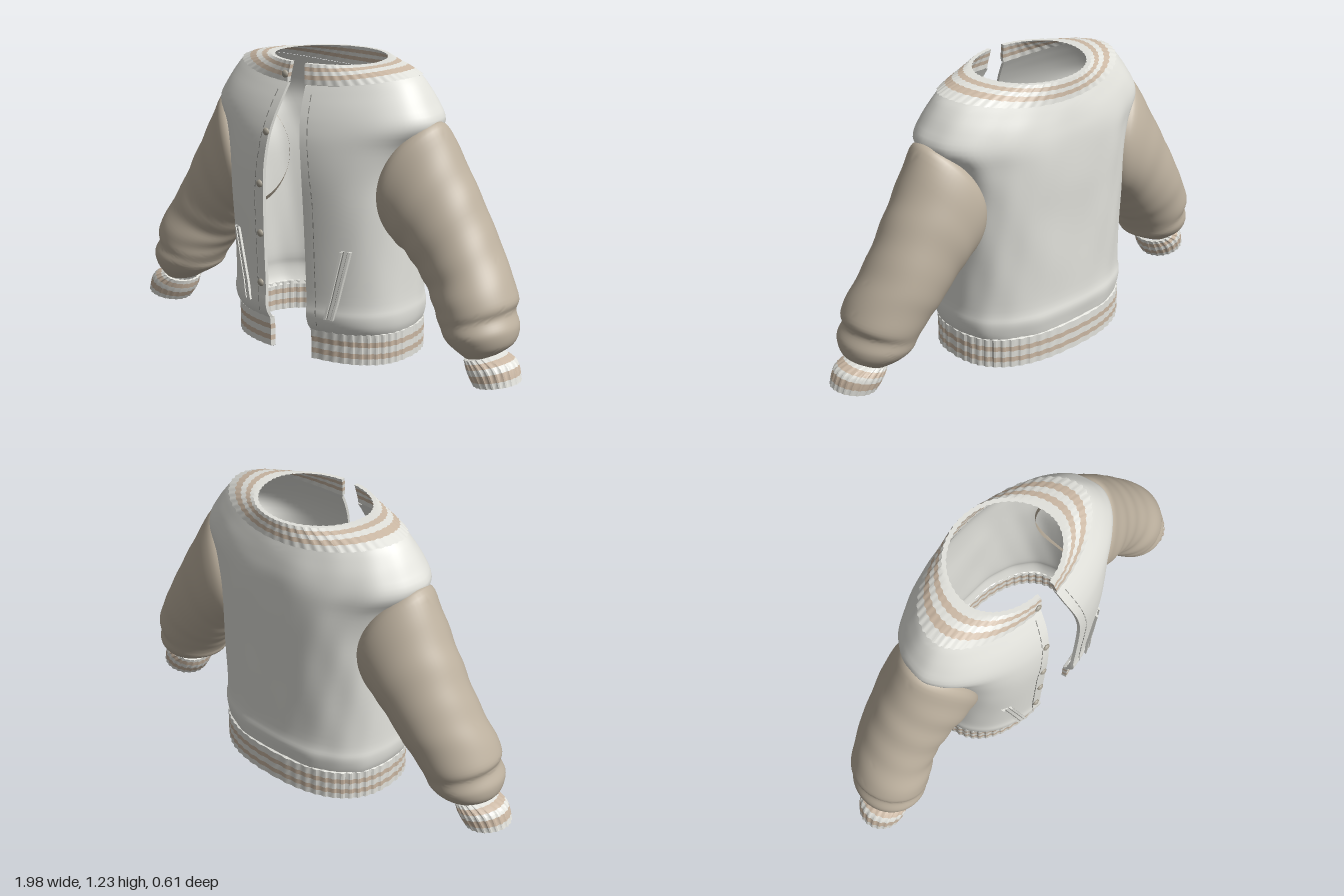
import * as THREE from 'three';
import { toCreasedNormals } from 'three/addons/utils/BufferGeometryUtils.js';

const flat = (name, color) => {
  const m = new THREE.MeshStandardMaterial({ color, side: THREE.DoubleSide });
  m.name = name;
  return m;
};

// Catmull-Rom through rows of numbers; u runs from 0 to rows.length - 1
function sample(rows, u) {
  const i = Math.min(Math.floor(u), rows.length - 2), t = u - i;
  const at = k => rows[Math.max(0, Math.min(rows.length - 1, k))];
  const [p, q, r, s] = [at(i - 1), at(i), at(i + 1), at(i + 2)];
  return q.map((v, k) => v + 0.5 * t * (r[k] - p[k] + t * (2 * p[k] - 5 * v + 4 * r[k] - s[k] + t * (3 * (v - r[k]) + s[k] - p[k]))));
}
const dense = (rows, n) => Array.from({ length: (rows.length - 1) * n + 1 }, (_, k) => sample(rows, k / n));

// Skin over closed rings of [x, y, z]
function loft(rings, flip = false, crease = 0.9) {
  const n = rings[0].length, index = [];
  for (let j = 0; j < rings.length - 1; j++) {
    for (let i = 0; i < n; i++) {
      const a = j * n + i, b = j * n + (i + 1) % n, c = b + n, d = a + n;
      if (flip) index.push(a, c, b, a, d, c);
      else index.push(a, b, c, a, c, d);
    }
  }
  const g = new THREE.BufferGeometry();
  g.setAttribute('position', new THREE.Float32BufferAttribute(rings.flat(2), 3));
  g.setIndex(index);
  return toCreasedNormals(g, crease);
}

// Torso rows: side y, front/back y, half width, front z, back depth, squareness, half gap
const TORSO = [
  [0.12, 0.12, 0.41, 0.25, 0.29, 2.5, 0.11],
  [0.16, 0.16, 0.425, 0.28, 0.297, 2.5, 0.11],
  [0.21, 0.21, 0.43, 0.292, 0.303, 2.5, 0.11],
  [0.27, 0.27, 0.424, 0.288, 0.294, 2.5, 0.11],
  [0.45, 0.45, 0.42, 0.295, 0.295, 2.6, 0.11],
  [0.65, 0.65, 0.42, 0.302, 0.295, 2.8, 0.107],
  [0.8, 0.8, 0.43, 0.305, 0.3, 2.7, 0.1],
  [0.92, 0.92, 0.475, 0.295, 0.3, 2.4, 0.085],
  [1.01, 1.0, 0.545, 0.275, 0.295, 2.1, 0.07],
  [1.09, 1.06, 0.508, 0.25, 0.283, 2.1, 0.058],
  [1.16, 1.11, 0.46, 0.225, 0.27, 2, 0.05],
  [1.19, 1.14, 0.43, 0.208, 0.26, 2, 0.045],
];
const COLLAR = [
  [1.192, 1.145, 0.435, 0.213, 0.264, 2, 0.045],
  [1.21, 1.165, 0.39, 0.212, 0.262, 2, 0.043],
  [1.22, 1.182, 0.352, 0.209, 0.26, 2, 0.041],
  [1.225, 1.198, 0.318, 0.206, 0.258, 2, 0.039],
  [1.228, 1.214, 0.288, 0.203, 0.256, 2, 0.037],
  [1.228, 1.228, 0.263, 0.2, 0.253, 2, 0.036],
];

// One open-fronted, double-walled torso section
function torsoRing([ys, yf, a, f, b, n, gap], thick, { count = 100, rib = 0, fold = 0 } = {}) {
  const start = Math.asin(Math.pow(gap / a, n / 2));
  const wall = inset => Array.from({ length: count + 1 }, (_, i) => {
    const p = start + (2 * Math.PI - 2 * start) * i / count, s = Math.sin(p), c = Math.cos(p);
    const back = (1 - c) / 2;
    const k = 1 + (i % 4 < 2 ? rib : -rib)
      + fold * back * (Math.sin(9 * p + 8 * ys) * Math.sin(7 * ys + 1) + 0.5 * Math.sin(17 * p - 11 * ys));
    const x = (a - inset) * Math.sign(s) * Math.abs(s) ** (2 / n) * k;
    const z = ((c > 0 ? f : b) - inset) * Math.sign(c) * Math.abs(c) ** (2 / n) * k;
    return [x, yf + (ys - yf) * s * s, z];
  });
  return [...wall(0), ...wall(thick).reverse()];
}

// Depth of the jacket front at x, y
function frontZ(x, y) {
  let i = 0;
  while (i < TORSO.length - 2 && TORSO[i + 1][1] < y) i++;
  const t = (y - TORSO[i][1]) / (TORSO[i + 1][1] - TORSO[i][1]);
  const [, , a, f, , n] = TORSO[i].map((v, k) => v + (TORSO[i + 1][k] - v) * t);
  return f * Math.pow(1 - Math.min(1, Math.abs(x) / a) ** n, 1 / n);
}

// Raised strip that follows the jacket front; path runs upward as [x, y]
function strip(path, width, height) {
  const ring = ([x, y], h) => {
    const l = x - width / 2, r = x + width / 2;
    return [[l, y, frontZ(l, y) + h], [r, y, frontZ(r, y) + h], [r, y, frontZ(r, y) - 0.006], [l, y, frontZ(l, y) - 0.006]];
  };
  return loft([ring(path[0], -0.006), ...path.map(p => ring(p, height)), ring(path[path.length - 1], -0.006)], false, 0.5);
}

// Sleeve rows: outer x, y, inner x, y, front z, back z, inward bow at the armhole
const SLEEVE = [
  [0.46, 0.985, 0.385, 0.55, 0.14, -0.16, 0.07],
  [0.555, 1.02, 0.42, 0.5, 0.185, -0.2, 0.085],
  [0.635, 0.885, 0.455, 0.47, 0.178, -0.21, 0.045],
  [0.71, 0.755, 0.49, 0.425, 0.163, -0.2, 0.02],
  [0.8, 0.59, 0.54, 0.355, 0.157, -0.19, 0],
  [0.865, 0.48, 0.575, 0.31, 0.17, -0.175, 0],
  [0.925, 0.365, 0.61, 0.26, 0.188, -0.16, 0],
  [0.918, 0.31, 0.632, 0.222, 0.182, -0.146, 0],
  [0.945, 0.25, 0.645, 0.195, 0.188, -0.138, 0],
  [0.935, 0.19, 0.675, 0.172, 0.172, -0.11, 0],
  [0.885, 0.145, 0.755, 0.125, 0.135, -0.05, 0],
];
const CUFF = [
  [0.89, 0.15, 0.755, 0.11, 0.14, -0.05, 0],
  [0.962, 0.122, 0.77, 0.062, 0.152, -0.056, 0],
  [0.99, 0.05, 0.802, 0.014, 0.148, -0.042, 0],
];

function armRing([ox, oy, ix, iy, zf, zb, bow], side, { count = 64, scale = 1, rib = 0, fold = 0 } = {}) {
  return Array.from({ length: count }, (_, i) => {
    const t = 2 * Math.PI * i / count, c = Math.cos(t), s = Math.sin(t);
    const k = scale * (1 + (i % 4 < 2 ? rib : -rib) + fold * Math.sin(42 * oy + 2.5 * Math.sin(t + 0.6)) * (0.6 + 0.4 * s));
    const x = (ox + ix) / 2 + c * k * (ox - ix) / 2 - bow * s * s;
    return [side * x, (oy + iy) / 2 + c * k * (oy - iy) / 2, (zf + zb) / 2 + s * k * (zf - zb) / 2];
  });
}

export function createModel() {
  const cloth = flat('white cloth', 0xe2e2dc);
  const tan = flat('tan sleeve cloth', 0xbdb19f);
  const stripe = flat('beige rib stripe', 0xcbb8a4);
  const thread = flat('grey stitching', 0x8f8f8a);
  const metal = flat('snap metal', 0xa8a294);

  const model = new THREE.Group();
  model.name = 'jacket';
  const add = (name, geometry, material) => {
    const mesh = new THREE.Mesh(geometry, material);
    mesh.name = name;
    model.add(mesh);
    return mesh;
  };
  const bandColor = k => (k % 2 ? stripe : cloth);

  // Torso shell
  add('torso', loft(dense(TORSO, 4).map(r => torsoRing(r, 0.014, { fold: 0.007 }))), cloth);

  // Ribbed collar, widening over the shoulders
  const ribbed = { count: 200, rib: 0.006 };
  for (let k = 0; k < 5; k++) {
    const rings = [COLLAR[k], COLLAR[k + 1]].map(r => torsoRing(r, 0.018, ribbed));
    if (k === 4) rings.push(torsoRing(COLLAR[5].map((v, i) => (i > 1 && i < 5 ? v - 0.009 : v)), 0, ribbed));
    add('collarBand', loft(rings, false, 0.4), bandColor(k));
  }

  // Ribbed hem
  const hemY = [0.004, 0.03, 0.052, 0.08, 0.102, 0.135];
  const hemRow = (y, inset = 0) => [y, y, 0.42 - inset, 0.255 + 0.1 * Math.max(0, y - 0.08) - inset, 0.3 - inset, 2.5, 0.11];
  for (let k = 0; k < 5; k++) {
    const rings = [hemY[k], hemY[k + 1]].map(y => torsoRing(hemRow(y), 0.022, ribbed));
    if (k === 0) rings.unshift(torsoRing(hemRow(0.001, 0.011), 0, ribbed));
    if (k === 4) rings.push(torsoRing(hemRow(0.14, 0.011), 0, ribbed));
    add('hemBand', loft(rings, false, 0.4), bandColor(k));
  }

  for (const side of [1, -1]) {
    const label = side > 0 ? 'left' : 'right', flip = side < 0;

    // Sleeve with soft folds
    add(label + 'Sleeve', loft(dense(SLEEVE, 6).map(r => armRing(r, side, { fold: 0.014 })), flip), tan);

    // Ribbed cuff, hollow at the wrist
    const cuff = { count: 88, rib: 0.02 };
    for (let k = 0; k < 5; k++) {
      const rings = [0, 0.5, 1].map(t => armRing(sample(CUFF, (k + t) * 0.4), side, cuff));
      if (k === 0) rings.unshift(armRing(CUFF[0], side, { ...cuff, scale: 0.85 }));
      add(label + 'CuffBand', loft(rings, flip, 0.5), bandColor(k));
    }
    const lining = [1, 0.88, 0.86, 0.84].map((scale, i) => armRing(sample(CUFF, [2, 2, 1, 0.2][i]), side, { ...cuff, scale }));
    add(label + 'CuffLining', loft(lining, flip, 0.5), cloth);

    // Slanted welt pocket with two piped edges
    const slant = dx => Array.from({ length: 9 }, (_, i) => [side * (0.218 + 0.073 * i / 8) + dx, 0.2 + 0.3 * i / 8]);
    add(label + 'PocketWelt', strip(slant(0), 0.034, 0.006), cloth);
    for (const dx of [-0.015, 0.015]) add(label + 'PocketPiping', strip(slant(dx), 0.009, 0.013), cloth);
    for (const dx of [-0.008, 0.008]) add(label + 'PocketSeam', strip(slant(dx), 0.003, 0.0075), thread);

    // Dashed stitching beside the front opening
    const seamX = y => side * (0.155 - 0.075 * Math.max(0, (y - 0.65) / 0.5) ** 1.3);
    for (let y = 0.16; y < 1.11; y += 0.042) {
      add(label + 'Stitch', strip([y, y + 0.028].map(v => [seamX(v), v]), 0.0035, 0.002), thread);
    }
  }

  // Snap buttons down the right front edge
  for (const [x, y] of [[-0.06, 1.175], [-0.096, 0.945], [-0.123, 0.725], [-0.128, 0.51], [-0.138, 0.29]]) {
    const snap = add('snapButton', new THREE.SphereGeometry(0.016, 16, 10), metal);
    snap.scale.z = 0.6;
    snap.position.set(x, y, y > 1.15 ? 0.208 : frontZ(x, y) + 0.002);
  }
  return model;
}
